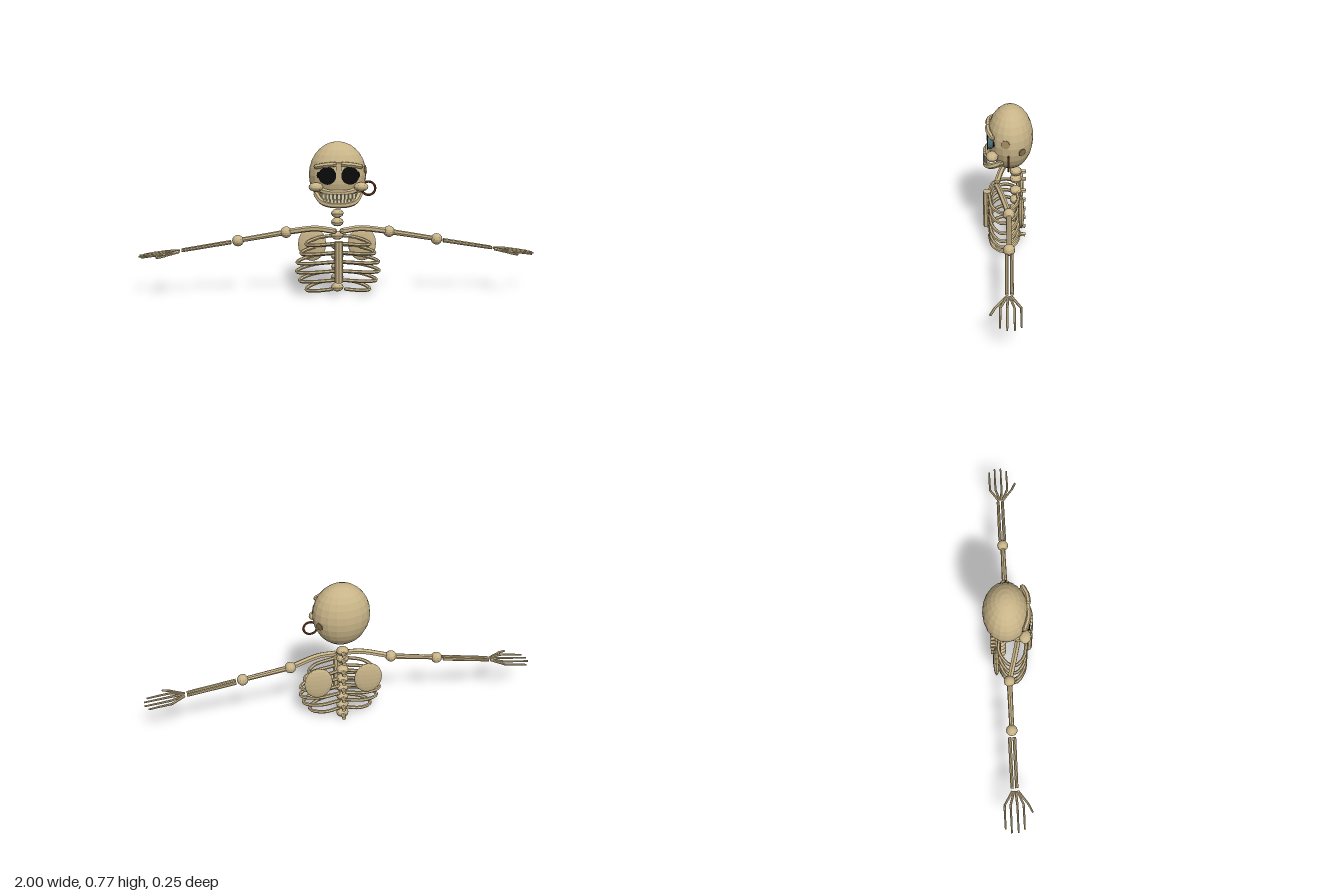
import * as THREE from 'three';

const V = (x, y, z) => new THREE.Vector3(x, y, z);
const mat = (name, color) => {
  const m = new THREE.MeshStandardMaterial({ color });
  m.name = name;
  return m;
};

export function createModel() {
  const bone = mat('bone', 0xc8b488);
  const tooth = mat('tooth ivory', 0xded2ae);
  const black = mat('socket black', 0x0b0b0c);
  const teal = mat('socket teal', 0x4d7078);
  const copper = mat('earring copper', 0x6e3a1c);
  const stain = mat('bone stain', 0xa38a60);
  const darkStain = mat('dark bone stain', 0x8a744e);

  const root = new THREE.Group();
  root.name = 'skeletonBust';
  const group = (name, parent = root) => {
    const g = new THREE.Group();
    g.name = name;
    parent.add(g);
    return g;
  };

  // Faceted mesh: unshared corners give each face its own normal
  const add = (parent, name, geo, m = bone) => {
    const g = geo.index ? geo.toNonIndexed() : geo;
    g.computeVertexNormals();
    const mesh = new THREE.Mesh(g, m);
    mesh.name = name;
    parent.add(mesh);
    return mesh;
  };
  const ball = (parent, name, p, r, m = bone, w = 12, h = 8) =>
    add(parent, name, new THREE.SphereGeometry(1, w, h).scale(r.x, r.y, r.z).translate(p.x, p.y, p.z), m);
  const box = (parent, name, p, s, m = bone) => {
    const mesh = add(parent, name, new THREE.BoxGeometry(s.x, s.y, s.z), m);
    mesh.position.copy(p);
    return mesh;
  };
  // Straight shaft between two points
  const shaft = (parent, name, a, b, r0, r1 = r0, m = bone, sides = 8) => {
    const d = b.clone().sub(a);
    const mesh = add(parent, name, new THREE.CylinderGeometry(r1, r0, d.length(), sides), m);
    mesh.position.copy(a).add(b).multiplyScalar(0.5);
    mesh.quaternion.setFromUnitVectors(V(0, 1, 0), d.normalize());
    return mesh;
  };
  // Curved rod with rounded ends
  const rod = (parent, name, pts, r, segs = 16) => {
    add(parent, name, new THREE.TubeGeometry(new THREE.CatmullRomCurve3(pts), segs, r, 6));
    for (const p of [pts[0], pts[pts.length - 1]]) ball(parent, name + 'End', p, V(r, r, r), bone, 6, 4);
  };

  // Skull
  const head = group('head');
  ball(head, 'cranium', V(0, 0.609, -0.011), V(0.144, 0.166, 0.114), bone, 20, 14);
  box(head, 'noseBridge', V(0, 0.635, 0.096), V(0.026, 0.09, 0.02));
  for (const s of [-1, 1]) {
    shaft(head, 'socketRim', V(s * 0.056, 0.615, 0.04), V(s * 0.056, 0.615, 0.097), 0.041, 0.041, teal, 16);
    shaft(head, 'socketHollow', V(s * 0.056, 0.615, 0.096), V(s * 0.056, 0.615, 0.102), 0.044, 0.044, black, 16);
    ball(head, 'socketShadow', V(s * 0.058, 0.615, 0.066), V(0.05, 0.034, 0.012), black);
    rod(head, 'browRidge', [V(s * 0.02, 0.672, 0.099), V(s * 0.065, 0.668, 0.095), V(s * 0.11, 0.658, 0.076)], 0.013, 4);
    ball(head, 'cheekbone', V(s * 0.112, 0.557, 0.078), V(0.036, 0.023, 0.031));
  }

  // Jaws
  rod(head, 'upperJaw', [V(-0.085, 0.54, 0.07), V(-0.05, 0.532, 0.094), V(0, 0.53, 0.1),
    V(0.05, 0.532, 0.094), V(0.085, 0.54, 0.07)], 0.014);
  rod(head, 'lowerJaw', [V(-0.108, 0.515, 0.035), V(-0.085, 0.486, 0.085), V(-0.045, 0.473, 0.108),
    V(0.045, 0.473, 0.108), V(0.085, 0.486, 0.085), V(0.108, 0.515, 0.035)], 0.015);
  const teeth = group('teeth', head);
  for (let i = 0; i < 9; i++) {
    const u = (i - 4) / 4;
    const z = 0.117 - 0.018 * u * u;
    box(teeth, 'upperTooth', V(u * 0.073, 0.514, z), V(0.015, 0.026, 0.014), tooth).rotation.y = u * 0.4;
    box(teeth, 'lowerTooth', V(u * 0.066, 0.49, z), V(0.0135, 0.019, 0.014), tooth).rotation.y = u * 0.4;
  }

  // Worn patches on the left of the skull, and the earring
  const patch = (name, y, z, r, m) => {
    const x = 0.144 * Math.sqrt(1 - ((y - 0.609) / 0.166) ** 2 - ((z + 0.011) / 0.114) ** 2);
    const n = V(x / 0.144 ** 2, (y - 0.609) / 0.166 ** 2, (z + 0.011) / 0.114 ** 2).normalize();
    const p = V(x, y, z);
    shaft(head, name, p.clone().addScaledVector(n, -0.007), p.clone().addScaledVector(n, 0.001), r, r, m, 10);
  };
  patch('templePatch', 0.635, 0.013, 0.022, stain);
  patch('rearPatch', 0.583, -0.07, 0.02, darkStain);
  add(head, 'earring', new THREE.TorusGeometry(0.034, 0.006, 6, 20).translate(0.155, 0.539, -0.003), copper);

  // Spine
  const spine = group('spine');
  for (const y of [0.407, 0.363, 0.294, 0.24, 0.186, 0.132, 0.078, 0.025]) {
    ball(spine, 'vertebra', V(0, y, -0.039), V(0.032, 0.023, 0.031), bone, 10, 6);
    shaft(spine, 'spinousProcess', V(0, y + 0.001, -0.05), V(0, y - 0.004, -0.09), 0.012, 0.011, bone, 6);
  }

  // Rib cage
  const cage = group('ribCage');
  shaft(cage, 'sternum', V(0, 0.08, 0.106), V(0, 0.287, 0.106), 0.021);
  [0.16, 0.185, 0.205, 0.208, 0.193, 0.16].forEach((w, i) => {
    const y = 0.276 - i * 0.0465;
    const inner = i === 5 ? 0.035 : 0.015;
    for (const s of [-1, 1]) {
      rod(cage, 'rib', [V(s * 0.02, y + 0.016, -0.045), V(s * w * 0.55, y + 0.006, -0.05),
        V(s * w * 0.93, y - 0.009, -0.01), V(s * w, y - 0.016, 0.03),
        V(s * w * 0.75, y - 0.012, 0.075), V(s * inner, y, 0.095)], 0.009, 24);
    }
  });

  // Shoulders, arms and hands
  const Z = -0.004;
  for (const s of [-1, 1]) {
    const arm = group(s > 0 ? 'leftArm' : 'rightArm');
    const P = (x, y, z) => V(s * x, y, z);
    ball(arm, 'shoulderBlade', P(0.128, 0.245, -0.066), V(0.072, 0.088, 0.016), bone, 14, 10);
    rod(arm, 'collarbone', [P(0.02, 0.332, 0.055), P(0.11, 0.342, 0.035), P(0.245, 0.322, 0)], 0.015, 8);
    ball(arm, 'shoulderJoint', P(0.26, 0.318, Z), V(0.029, 0.029, 0.029));
    shaft(arm, 'upperArm', P(0.27, 0.316, Z), P(0.495, 0.279, Z), 0.014, 0.012);
    ball(arm, 'elbow', P(0.503, 0.277, Z), V(0.029, 0.029, 0.029));
    for (const z of [-0.016, 0.007])
      shaft(arm, 'forearmBone', P(0.537, 0.27, z), P(0.785, 0.23, z), 0.009, 0.008);

    // Each finger: palm bone, then two joints
    const hand = group('hand', arm);
    [-0.057, -0.027, 0.006, 0.037].forEach((z, i) => {
      const tip = [0.98, 1, 1, 0.985][i];
      const pts = [P(0.798, 0.226, -0.015 + i * 0.008), P(0.865, 0.217, z), P(0.93, 0.209, z), P(tip, 0.201, z)];
      for (let k = 0; k < 3; k++)
        shaft(hand, k ? 'fingerBone' : 'palmBone', pts[k], pts[k + 1], 0.0065 - k * 0.0008, 0.0058 - k * 0.0008, bone, 6);
    });
    const thumb = [P(0.798, 0.224, 0.012), P(0.865, 0.214, 0.062), P(0.905, 0.208, 0.081)];
    for (let k = 0; k < 2; k++) shaft(hand, 'thumbBone', thumb[k], thumb[k + 1], 0.0065, 0.0055, bone, 6);
  }
  return root;
}
